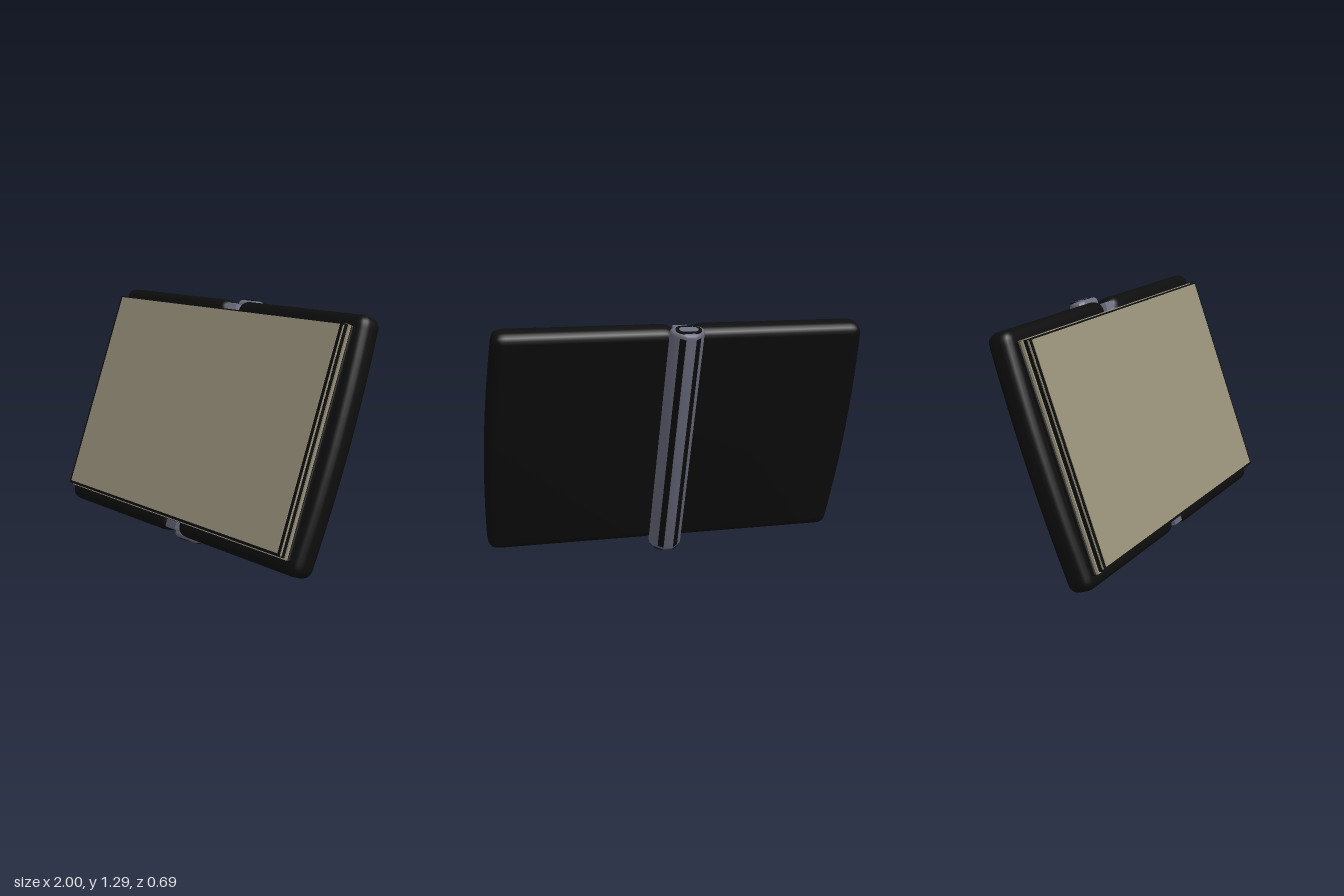
import * as THREE from 'three';
import { toCreasedNormals } from 'three/addons/utils/BufferGeometryUtils.js';
import { RoundedBoxGeometry } from 'three/addons/geometries/RoundedBoxGeometry.js';

const mat = (name, color) => new THREE.MeshStandardMaterial({ name, color });

export function createModel() {
  const black = mat('black', 0x0d0d0d);
  const cream = mat('cream', 0x979079);
  const grey = mat('blueGrey', 0x6c6e80);

  const model = new THREE.Group();
  model.name = 'foldingTablet';
  // local frame: y runs up the panel, z is its forward normal
  const body = new THREE.Group();
  body.name = 'tiltedBody';
  body.rotation.x = -THREE.MathUtils.degToRad(20);
  model.add(body);

  const add = (name, geometry, material) => {
    const mesh = new THREE.Mesh(geometry, material);
    mesh.name = name;
    body.add(mesh);
    return mesh;
  };

  // box given by half width and its y and z ranges
  const slab = (name, hx, y0, y1, z0, z1, material, radius = 0) => {
    const size = [2 * hx, y1 - y0, z1 - z0];
    const geo = radius ? new RoundedBoxGeometry(...size, 2, radius) : new THREE.BoxGeometry(...size);
    add(name, geo, material).position.set(0, (y0 + y1) / 2, (z0 + z1) / 2);
  };

  const bevelled = (shape, depth, bevel) => toCreasedNormals(new THREE.ExtrudeGeometry(shape, {
    depth: depth - 2 * bevel, bevelThickness: bevel, bevelSize: bevel, bevelOffset: -bevel,
    bevelEnabled: bevel > 0, bevelSegments: 4, curveSegments: 8,
  }).translate(0, 0, bevel), 0.6);

  // cross-section in x and z, swept up along y from y0 to y1
  const sweep = (half, y0, y1, bevel) => {
    const pts = [...half, ...half.slice().reverse().map(([x, z]) => [-x, z])];
    const shape = new THREE.Shape(pts.map(([x, z]) => new THREE.Vector2(x, -z)));
    return bevelled(shape, y1 - y0, bevel).rotateX(-Math.PI / 2).translate(0, y0, 0);
  };

  // two rounded back shells with a slightly bowed outer edge
  for (const side of [1, -1]) {
    const b = -0.02, t = 1.262, r = 0.065, inner = 0.045, outer = 0.977;
    const X = (x) => side * x;
    const s = new THREE.Shape();
    s.moveTo(X(inner + r), b);
    s.lineTo(X(outer - r), b);
    s.quadraticCurveTo(X(outer), b, X(outer), b + r);
    s.quadraticCurveTo(X(1.021), (b + t) / 2, X(outer), t - r);
    s.quadraticCurveTo(X(outer), t, X(outer - r), t);
    s.lineTo(X(inner + r), t);
    s.quadraticCurveTo(X(inner), t, X(inner), t - r);
    s.lineTo(X(inner), b + r);
    s.quadraticCurveTo(X(inner), b, X(inner + r), b);
    add(side > 0 ? 'leftShell' : 'rightShell', bevelled(s, 0.132, 0.045).translate(0, 0, 0.185), black);
  }

  // layered front panel, stepping inwards towards the front
  slab('rearLayer', 0.928, 0.046, 1.192, 0.305, 0.338, black, 0.008);
  slab('rearEdgeBand', 0.921, 0.05, 1.19, 0.336, 0.352, cream);
  slab('topEdgeBand', 0.905, 1.186, 1.195, 0.317, 0.356, cream);
  slab('middleLayer', 0.912, 0.057, 1.191, 0.35, 0.374, black);
  slab('frontEdgeBand', 0.912, 0.062, 1.186, 0.372, 0.383, cream);
  slab('topEdgeCap', 0.912, 1.182, 1.19, 0.37, 0.386, black);
  slab('bottomEdgeCap', 0.912, 0.058, 0.066, 0.37, 0.386, black);
  slab('screenFrame', 0.911, 0.062, 1.187, 0.381, 0.387, black);
  slab('screen', 0.895, 0.072, 1.183, 0.383, 0.39, cream);

  // hinge bar on the back and the neck that joins it to the panel
  add('hingeBar', sweep([
    [0.025, 0.09], [0.056, 0.114], [0.08, 0.138], [0.09, 0.165], [0.088, 0.19], [0.065, 0.214],
  ], -0.042, 1.287, 0.024), grey);
  add('hingeNeck', sweep([[0.065, 0.2], [0.05, 0.23], [0.041, 0.26], [0.04, 0.315]], 0, 1.24, 0.008), grey);

  // dark strips along both back corners of the bar
  for (const side of [1, -1]) {
    const strip = add(side > 0 ? 'leftBarStrip' : 'rightBarStrip', new THREE.BoxGeometry(0.034, 1.275, 0.006), black);
    strip.position.set(side * 0.0405, 0.6225, 0.102);
    strip.rotation.y = -side * Math.atan2(0.024, 0.031);
  }

  // dark ring with a grey button on both ends of the bar
  const oval = (hx, z0, z1, r) => {
    const pts = [];
    for (let i = 0; i <= 16; i++) {
      const a = -Math.PI / 2 + (Math.PI * i) / 16;
      const x = hx - r + r * Math.cos(a);
      const z = (z0 + z1) / 2 + ((z1 - z0) / 2) * Math.sin(a);
      pts.push([x, z]);
    }
    return pts;
  };
  for (const [end, y] of [['top', 1.287], ['bottom', -0.042]]) {
    add(end + 'EndRing', sweep(oval(0.068, 0.112, 0.198, 0.04), y - 0.003, y + 0.003, 0), black);
    add(end + 'EndButton', sweep(oval(0.05, 0.13, 0.18, 0.025), y - 0.0045, y + 0.0045, 0), grey);
  }

  return model;
}
